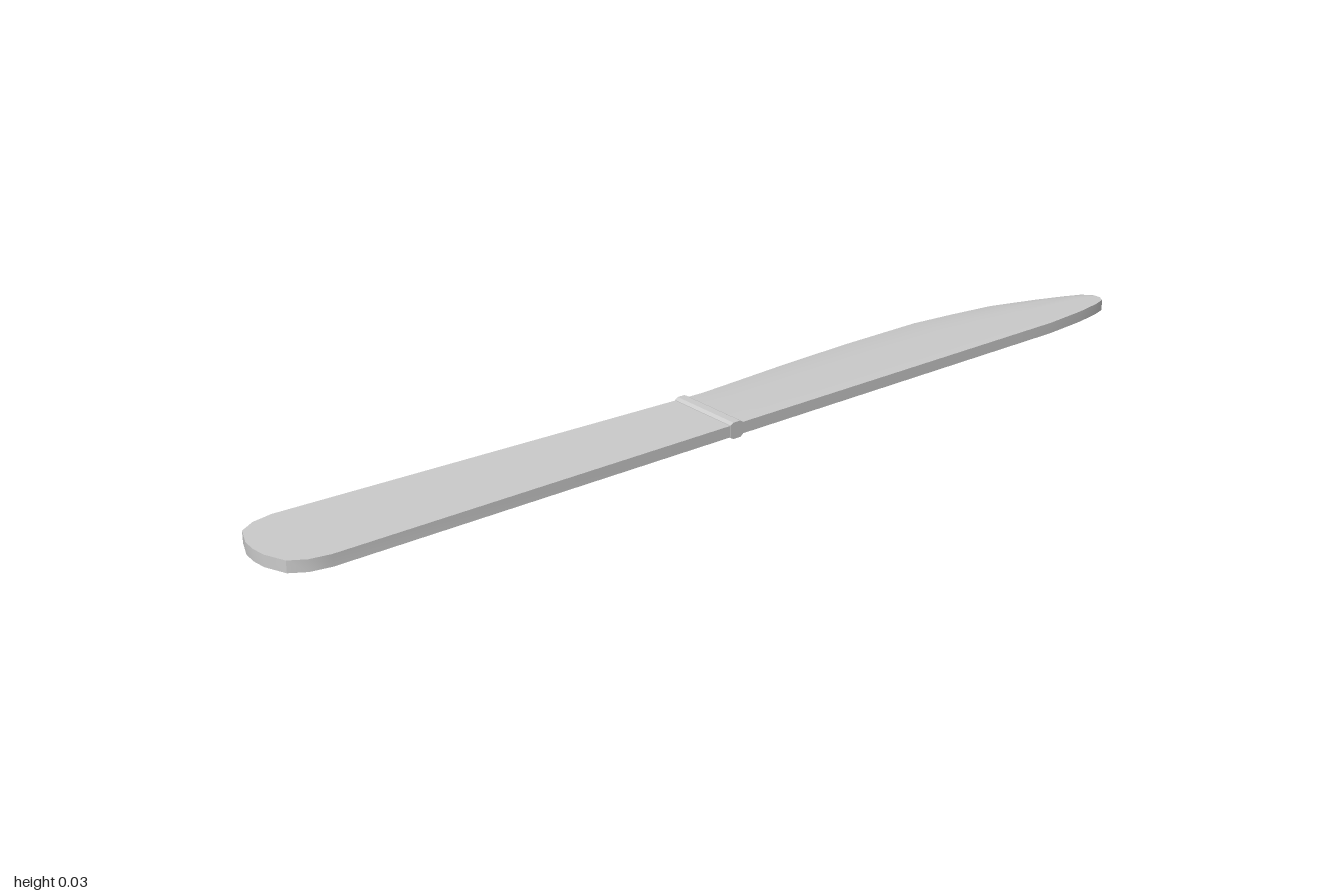
import * as THREE from 'three';
import { toCreasedNormals } from 'three/addons/utils/BufferGeometryUtils.js';

const MID = 0.0165;  // height of the knife's middle plane
const HALF = 0.0115; // half thickness of handle and blade spine

function extrude(points, depth) {
  const shape = new THREE.Shape(points.map(([x, y]) => new THREE.Vector2(x, y)));
  return new THREE.ExtrudeGeometry(shape, { depth, bevelEnabled: false });
}

// Stations along the blade: z, cutting edge x, spine x, half thickness at the edge
const STATIONS = [
  [0.05, -0.062, 0.1, HALF],
  [0, -0.065, 0.1, 0.009],
  [-0.1, -0.08, 0.1, 0.004],
  [-0.22, -0.092, 0.1, 0.0015],
  [-0.4, -0.1, 0.1, 0.001],
  [-0.6, -0.1, 0.1, 0.001],
  [-0.7, -0.088, 0.1, 0.001],
  [-0.8, -0.073, 0.1, 0.001],
  [-0.9, -0.038, 0.092, 0.002],
  [-0.96, -0.01, 0.082, 0.004],
  [-0.99, 0.012, 0.073, 0.007],
  [-1, 0.033, 0.058, 0.009],
];

// Cross-section: flat from the spine, then curving down to the edge
const ACROSS = [0, 0.5, 0.65, 0.78, 0.88, 0.95, 1];

function bladeGeometry() {
  const positions = [], index = [];
  const n = ACROSS.length * 2;
  for (const [z, edge, spine, thin] of STATIONS) {
    const row = ACROSS.map((u) => {
      const t = Math.max(0, (u - 0.5) / 0.5);
      return [spine + (edge - spine) * u, HALF - (HALF - thin) * t * t];
    });
    for (const [x, h] of row) positions.push(x, MID + h, z);
    for (const [x, h] of row.reverse()) positions.push(x, MID - h, z);
  }
  const last = (STATIONS.length - 1) * n;
  for (let i = 0; i < last; i += n) {
    for (let j = 0; j < n; j++) {
      const k = (j + 1) % n;
      index.push(i + j, i + n + j, i + n + k, i + j, i + n + k, i + k);
    }
  }
  // End caps
  for (let j = 1; j < n - 1; j++) {
    index.push(0, j, j + 1, last, last + j + 1, last + j);
  }
  const geometry = new THREE.BufferGeometry();
  geometry.setAttribute('position', new THREE.Float32BufferAttribute(positions, 3));
  geometry.setIndex(index);
  return toCreasedNormals(geometry, 0.5);
}

// Handle: flat plate widening to a rounded end
function handleGeometry() {
  const outline = [
    [-0.062, 0.05], [0.1, 0.05], [0.1, 0.91], [0.092, 0.95], [0.073, 0.98],
    [0.03, 0.997], [0, 1], [-0.03, 0.997], [-0.073, 0.98], [-0.092, 0.95], [-0.1, 0.91],
  ];
  const geometry = extrude(outline, 2 * HALF);
  geometry.rotateX(Math.PI / 2).translate(0, MID + HALF, 0);
  return toCreasedNormals(geometry, 0.5);
}

// Collar: narrow chamfered band around the joint
function collarGeometry() {
  const top = 2 * MID;
  const profile = [
    [0.038, 0.004], [0.045, 0], [0.061, 0], [0.068, 0.004],
    [0.068, top - 0.004], [0.061, top], [0.045, top], [0.038, top - 0.004],
  ];
  return extrude(profile, 0.165).rotateY(-Math.PI / 2).translate(0.101, 0, 0);
}

export function createModel() {
  const knife = new THREE.Group();
  knife.name = 'tableKnife';
  const material = new THREE.MeshStandardMaterial({ color: 0xcccccc });
  const parts = { handle: handleGeometry(), collar: collarGeometry(), blade: bladeGeometry() };
  for (const [name, geometry] of Object.entries(parts)) {
    const mesh = new THREE.Mesh(geometry, material);
    mesh.name = name;
    knife.add(mesh);
  }
  return knife;
}
